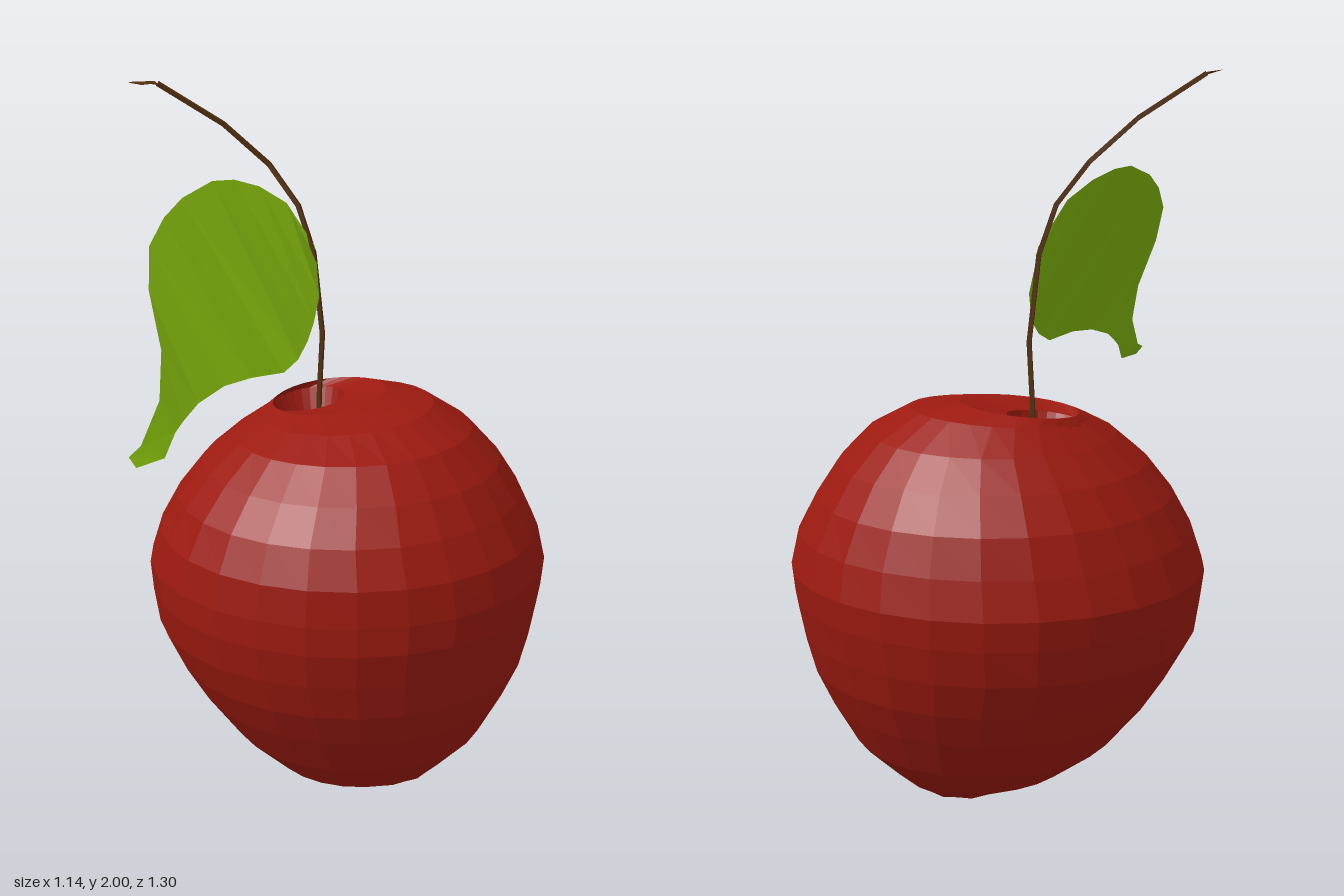
import * as THREE from 'three';

const SIDES = 26;
const mat = (color) => new THREE.MeshStandardMaterial({ color, flatShading: true, side: THREE.DoubleSide, roughness: 0.8 });

// Skin a list of equal-length point rows into a surface.
function loft(rows, closed) {
  const n = rows[0].length, index = [];
  for (let r = 0; r < rows.length - 1; r++) {
    for (let i = 0; i < (closed ? n : n - 1); i++) {
      const j = (i + 1) % n, a = r * n + i, b = r * n + j;
      index.push(a, b, a + n, b, b + n, a + n);
    }
  }
  const g = new THREE.BufferGeometry();
  g.setAttribute('position', new THREE.Float32BufferAttribute(rows.flat(2), 3));
  g.setIndex(index);
  g.computeVertexNormals();
  return g;
}

// Ring inside the bounds x0..x1, z0..z1 at height y, tilted along x and z; crimp makes it star-shaped.
function ring([y, x0, x1, z0, z1, tx = 0, tz = 0, crimp = 0]) {
  const pts = [];
  for (let i = 0; i < SIDES; i++) {
    const a = (i / SIDES) * Math.PI * 2;
    const k = 1 + (i % 2 ? -crimp : crimp);
    const dx = Math.cos(a) * (x1 - x0) / 2 * k, dz = -Math.sin(a) * (z1 - z0) / 2 * k;
    pts.push([(x0 + x1) / 2 + dx, y + tx * dx + tz * dz, (z0 + z1) / 2 + dz]);
  }
  return pts;
}

export function createModel() {
  const group = new THREE.Group();
  const red = mat(0x9c1a10), brown = mat(0x54300f), green = mat(0x84b90e);
  const add = (name, geometry, material) => {
    const mesh = new THREE.Mesh(geometry, material);
    mesh.name = name;
    group.add(mesh);
    return mesh;
  };

  // Fruit skin, from the calyx rim up to the inside of the stem hollow
  const skin = [
    [0.08, 0.09, 0.19, -0.06, 0.05, 0.1, 0.3],
    [0.035, 0.05, 0.25, -0.12, 0.1, 0.1, 0.25, 0.07],
    [0.04, -0.05, 0.28, -0.22, 0.14, 0.06, 0.12, 0.02],
    [0.09, -0.2, 0.32, -0.34, 0.21],
    [0.18, -0.32, 0.41, -0.44, 0.29],
    [0.3, -0.42, 0.475, -0.52, 0.36],
    [0.4, -0.485, 0.52, -0.575, 0.41],
    [0.5, -0.54, 0.545, -0.615, 0.44],
    [0.6, -0.555, 0.563, -0.64, 0.46],
    [0.68, -0.565, 0.57, -0.65, 0.46],
    [0.78, -0.53, 0.548, -0.63, 0.45],
    [0.88, -0.475, 0.495, -0.6, 0.41],
    [0.97, -0.405, 0.435, -0.54, 0.34],
    [1.05, -0.32, 0.35, -0.47, 0.25, 0.02],
    [1.105, -0.25, 0.235, -0.38, 0.13, 0.06, -0.04],
    [1.125, -0.23, 0.09, -0.325, 0.02, 0.1, -0.05],
    [1.1, -0.245, -0.04, -0.295, -0.07, 0.12, -0.05],
    [1.03, -0.215, -0.055, -0.265, -0.1, 0.05],
    [0.97, -0.2, -0.065, -0.25, -0.115],
  ];
  add('fruitSkin', loft(skin.map(ring), true), red);

  // Brown floor of the stem hollow
  add('stemHollow', loft([
    [0.97, -0.2, -0.065, -0.25, -0.115],
    [0.92, -0.16, -0.09, -0.21, -0.14],
    [0.9, -0.12, -0.12, -0.175, -0.175],
  ].map(ring), true), brown);

  // Brown calyx pit underneath
  add('calyxPit', loft([
    [0.14, 0.14, 0.14, -0.01, -0.01],
    [0.08, 0.09, 0.19, -0.06, 0.05, 0.1, 0.3],
  ].map(ring), true), brown);

  // Withered sepals curling round the pit
  const sepals = new THREE.Group();
  sepals.name = 'sepals';
  for (let i = 0; i < 7; i++) {
    const sepal = new THREE.Mesh(loft([
      [[0.03, 0.035, -0.022], [0.035, 0.025, 0], [0.03, 0.035, 0.022]],
      [[0.075, 0, -0.018], [0.08, -0.012, 0], [0.075, 0, 0.018]],
      [[0.125, 0.006, -0.003], [0.125, 0.004, 0], [0.125, 0.006, 0.003]],
    ], false), brown);
    sepal.name = 'sepal';
    sepal.rotation.y = (i / 7) * Math.PI * 2;
    sepals.add(sepal);
  }
  sepals.position.set(0.14, 0.032, -0.01);
  sepals.rotation.set(-0.25, 0, 0.1);
  group.add(sepals);

  // Thin bent stem: four-sided sections along a path
  const path = [
    [-0.11, 0.9, -0.165], [-0.105, 1.12, -0.165], [-0.095, 1.3, -0.165], [-0.12, 1.53, -0.165],
    [-0.165, 1.66, -0.165], [-0.25, 1.77, -0.165], [-0.37, 1.88, -0.13], [-0.535, 1.99, -0.065],
  ].map((p) => new THREE.Vector3(...p));
  const stemRows = path.map((p, i) => {
    const dir = path[Math.min(i + 1, path.length - 1)].clone().sub(path[Math.max(i - 1, 0)]).normalize();
    const u = new THREE.Vector3(0, 0, 1).cross(dir).normalize(), v = dir.clone().cross(u);
    return [[1, 1], [-1, 1], [-1, -1], [1, -1]].map(([a, b]) =>
      p.clone().addScaledVector(u, a * 0.006).addScaledVector(v, b * 0.006).toArray());
  });
  add('stem', loft(stemRows, true), brown);

  // Flattened stem tip
  add('stemTip', loft([
    [[-0.545, 1.995, -0.07], [-0.53, 1.985, -0.065]],
    [[-0.575, 2, 0], [-0.53, 1.993, -0.02]],
    [[-0.575, 2, 0.035], [-0.535, 1.995, 0.035]],
  ], false), brown);

  // Leaf: rows of upper edge and lower edge, each x, y, z
  add('leaf', loft([
    [[-0.118, 1.55, -0.167], [-0.112, 1.51, -0.165]],
    [[-0.19, 1.67, -0.14], [-0.085, 1.42, -0.11]],
    [[-0.25, 1.72, -0.09], [-0.08, 1.36, -0.05]],
    [[-0.3, 1.745, -0.03], [-0.08, 1.32, 0]],
    [[-0.335, 1.75, 0.04], [-0.083, 1.285, 0.07]],
    [[-0.375, 1.72, 0.15], [-0.105, 1.26, 0.12]],
    [[-0.393, 1.68, 0.23], [-0.155, 1.27, 0.23]],
    [[-0.4, 1.62, 0.31], [-0.2, 1.265, 0.31]],
    [[-0.375, 1.52, 0.375], [-0.235, 1.24, 0.4]],
    [[-0.32, 1.38, 0.43], [-0.25, 1.21, 0.46]],
    [[-0.297, 1.27, 0.5], [-0.256, 1.19, 0.5]],
    [[-0.305, 1.18, 0.6], [-0.26, 1.14, 0.56]],
    [[-0.315, 1.165, 0.65], [-0.295, 1.14, 0.652]],
  ], false), green);

  return group;
}
